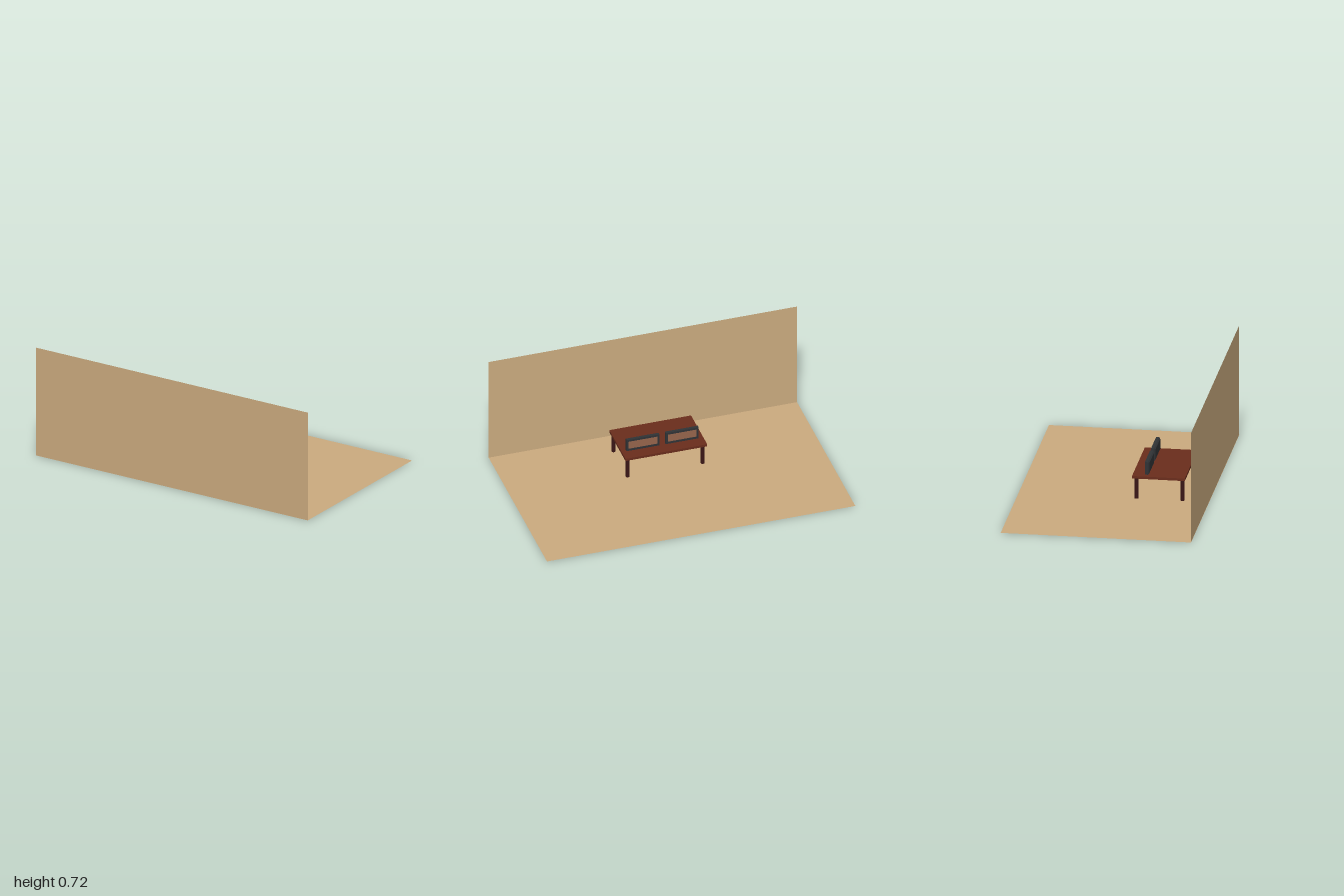
import * as THREE from 'three';

const material = (color, side = THREE.FrontSide) => new THREE.MeshStandardMaterial({ color, side });
const sand = material(0xcbab7f, THREE.DoubleSide);
const wood = material(0x6a2d1c);
const darkWood = material(0x3a1616);
const charcoal = material(0x303336);
const copper = material(0x96654c);

function add(parent, name, geometry, mat, x = 0, y = 0, z = 0) {
  const mesh = new THREE.Mesh(geometry, mat);
  mesh.name = name;
  mesh.position.set(x, y, z);
  parent.add(mesh);
  return mesh;
}

// Box with a flat back (-z) and a chamfered front (+z)
function chamferedBox(w, h, d, c) {
  const g = new THREE.BoxGeometry(w, h, d, 1, 1, 2);
  const p = g.attributes.position;
  for (let i = 0; i < p.count; i++) {
    const z = p.getZ(i);
    if (z > d / 4) {
      p.setX(i, p.getX(i) - Math.sign(p.getX(i)) * c);
      p.setY(i, p.getY(i) - Math.sign(p.getY(i)) * c);
    } else if (z > -d / 4) {
      p.setZ(i, d / 2 - c);
    }
  }
  const flat = g.toNonIndexed();
  flat.computeVertexNormals();
  return flat;
}

// Rectangular rim with an opening
function rim(w, h, border, depth) {
  const rect = (path, a, b) => path.moveTo(-a, -b).lineTo(a, -b).lineTo(a, b).lineTo(-a, b).closePath();
  const shape = rect(new THREE.Shape(), w / 2, h / 2);
  shape.holes.push(rect(new THREE.Path(), w / 2 - border, h / 2 - border));
  return new THREE.ExtrudeGeometry(shape, { depth, bevelEnabled: false });
}

function createPanel(name) {
  const W = 0.214, H = 0.082, panel = new THREE.Group();
  panel.name = name;
  add(panel, 'panelBody', chamferedBox(W, H, 0.022, 0.008), charcoal, 0, 0, 0.0025);
  add(panel, 'panelRim', rim(W, H, 0.014, 0.005), charcoal, 0, 0, -0.0135);
  add(panel, 'panelFace', new THREE.BoxGeometry(W - 0.028, H - 0.028, 0.003), copper, 0, 0, -0.0095);
  return panel;
}

export function createModel() {
  const model = new THREE.Group();
  model.name = 'tableRoom';

  // Room: floor and one wall
  const floor = add(model, 'floor', new THREE.PlaneGeometry(2, 1.19), sand);
  floor.rotation.x = -Math.PI / 2;
  add(model, 'wall', new THREE.PlaneGeometry(2, 0.717), sand, 0, 0.3585, 0.594);

  // Table
  const table = new THREE.Group();
  table.name = 'table';
  model.add(table);
  add(table, 'tableTop', new THREE.BoxGeometry(0.53, 0.016, 0.33), wood, 0, 0.143, 0.28);
  const leg = new THREE.CylinderGeometry(0.0125, 0.0125, 0.136, 16);
  for (const x of [-0.243, 0.243])
    for (const z of [0.14, 0.428]) add(table, 'tableLeg', leg, darkWood, x, 0.068, z);

  // Pair of framed panels standing on the table
  for (const [name, x] of [['leftPanel', 0.127], ['rightPanel', -0.127]]) {
    const panel = createPanel(name);
    panel.position.set(x, 0.194, 0.204);
    model.add(panel);
  }
  return model;
}
